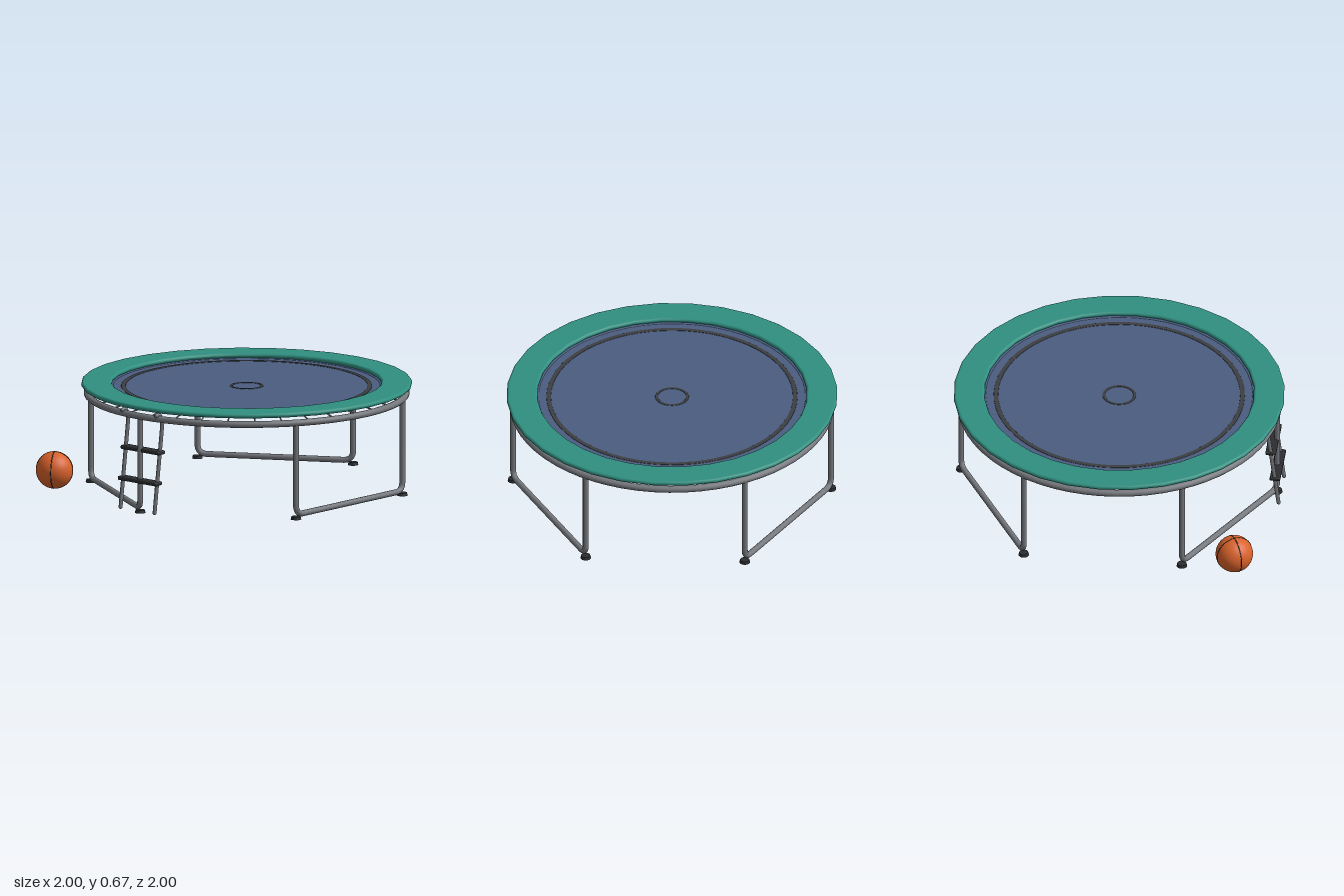
import * as THREE from 'three';
import { RoundedBoxGeometry } from 'three/addons/geometries/RoundedBoxGeometry.js';

const material = (color) => new THREE.MeshStandardMaterial({ color });
const V = (x, y, z) => new THREE.Vector3(x, y, z);

export function createModel() {
  const model = new THREE.Group();
  const steel = material(0x75787d);
  const teal = material(0x2f8f80);
  const blue = material(0x4a5d80);
  const dark = material(0x3c3e42);
  const rubber = material(0x2c2d30);
  const orange = material(0xd9622b);

  const add = (parent, name, geometry, mat, x = 0, y = 0, z = 0) => {
    const mesh = new THREE.Mesh(geometry, mat);
    mesh.name = name;
    mesh.position.set(x, y, z);
    parent.add(mesh);
    return mesh;
  };
  const group = (name) => {
    const g = new THREE.Group();
    g.name = name;
    model.add(g);
    return g;
  };

  // Closed ring with a rounded rectangular section between two radii
  const ringGeometry = (inner, outer, bottom, top, radius, segments) => {
    const points = [];
    const corners = [
      [outer - radius, bottom + radius, -90],
      [outer - radius, top - radius, 0],
      [inner + radius, top - radius, 90],
      [inner + radius, bottom + radius, 180],
    ];
    for (const [cx, cy, start] of corners) {
      for (let i = 0; i <= 4; i++) {
        const a = THREE.MathUtils.degToRad(start + i * 22.5);
        points.push(new THREE.Vector2(cx + radius * Math.cos(a), cy + radius * Math.sin(a)));
      }
    }
    points.push(points[0].clone());
    return new THREE.LatheGeometry(points, segments);
  };

  // Safety pad and round frame tube
  add(model, 'safetyPad', ringGeometry(0.815, 1, 0.638, 0.668, 0.0145, 32), teal);
  const frame = add(model, 'frameRing', new THREE.TorusGeometry(0.963, 0.021, 12, 64), steel, 0, 0.596, 0);
  frame.rotation.x = Math.PI / 2;

  // Jumping mat with its hem and printed circles
  add(model, 'mat', new THREE.CylinderGeometry(0.825, 0.825, 0.01, 48), blue, 0, 0.632, 0);
  add(model, 'matHem', ringGeometry(0.805, 0.835, 0.624, 0.64, 0.007, 48), blue);
  add(model, 'outerCircle', ringGeometry(0.73, 0.758, 0.625, 0.639, 0.002, 64), dark);
  add(model, 'centreCircle', ringGeometry(0.085, 0.102, 0.634, 0.639, 0.002, 40), dark);

  // Springs between mat and frame
  const springs = group('springs');
  const springCount = 36;
  const springPath = new THREE.LineCurve3(V(0, 0.632, 0.825), V(0, 0.606, 0.955));
  const springGeometry = new THREE.TubeGeometry(springPath, 1, 0.005, 6);
  for (let i = 0; i < springCount; i++) {
    add(springs, 'spring', springGeometry, steel).rotation.y = ((i + 0.5) / springCount) * Math.PI * 2;
  }

  // Three U-shaped legs, each joining two of six points on the frame
  const legY = 0.03;
  const bend = 0.06;
  const half = 0.48;
  const legPath = new THREE.CurvePath();
  legPath.add(new THREE.LineCurve3(V(-half, 0.59, 0), V(-half, legY + bend, 0)));
  legPath.add(new THREE.QuadraticBezierCurve3(V(-half, legY + bend, 0), V(-half, legY, 0), V(-half + bend, legY, 0)));
  legPath.add(new THREE.LineCurve3(V(-half + bend, legY, 0), V(half - bend, legY, 0)));
  legPath.add(new THREE.QuadraticBezierCurve3(V(half - bend, legY, 0), V(half, legY, 0), V(half, legY + bend, 0)));
  legPath.add(new THREE.LineCurve3(V(half, legY + bend, 0), V(half, 0.59, 0)));
  const legGeometry = new THREE.TubeGeometry(legPath, 120, 0.018, 10);
  const footGeometry = new THREE.CylinderGeometry(0.028, 0.032, 0.018, 16);
  for (let i = 0; i < 3; i++) {
    const leg = group('legFrame');
    leg.rotation.y = Math.PI / 2 + (i * Math.PI * 2) / 3;
    add(leg, 'legTube', legGeometry, steel, 0, 0, 0.832);
    for (const side of [-1, 1]) {
      add(leg, 'foot', footGeometry, rubber, side * half, 0.011, 0.832);
    }
  }

  // Ladder with rails hooked over the frame
  const ladder = group('ladder');
  const rails = new THREE.CurvePath();
  rails.add(new THREE.LineCurve3(V(0, 0.02, 0.985), V(0, 0.52, 0.92)));
  rails.add(new THREE.CatmullRomCurve3([
    V(0, 0.52, 0.92), V(0, 0.56, 0.918), V(0, 0.6, 0.925), V(0, 0.622, 0.945), V(0, 0.618, 0.97),
  ]));
  const railGeometry = new THREE.TubeGeometry(rails, 40, 0.012, 10);
  for (const side of [-1, 1]) {
    add(ladder, 'ladderRail', railGeometry, steel, side * 0.138);
    add(ladder, 'railTopCap', new THREE.SphereGeometry(0.0125, 10, 8), steel, side * 0.138, 0.618, 0.97);
    add(ladder, 'railBottomCap', new THREE.SphereGeometry(0.012, 10, 8), steel, side * 0.138, 0.022, 0.985);
  }
  for (const [y, z] of [[0.2, 0.964], [0.387, 0.938]]) {
    add(ladder, 'ladderStep', new RoundedBoxGeometry(0.31, 0.024, 0.064, 3, 0.008), rubber, 0, y, z);
  }

  // Ball with two crossing seams
  const ball = group('ball');
  ball.position.set(-0.84, 0.125, 0.8);
  add(ball, 'ballBody', new THREE.SphereGeometry(0.113, 32, 24), orange);
  for (const angle of [Math.PI / 6, (Math.PI * 2) / 3]) {
    add(ball, 'ballSeam', new THREE.TorusGeometry(0.112, 0.003, 6, 48), rubber).rotation.y = angle;
  }

  return model;
}
